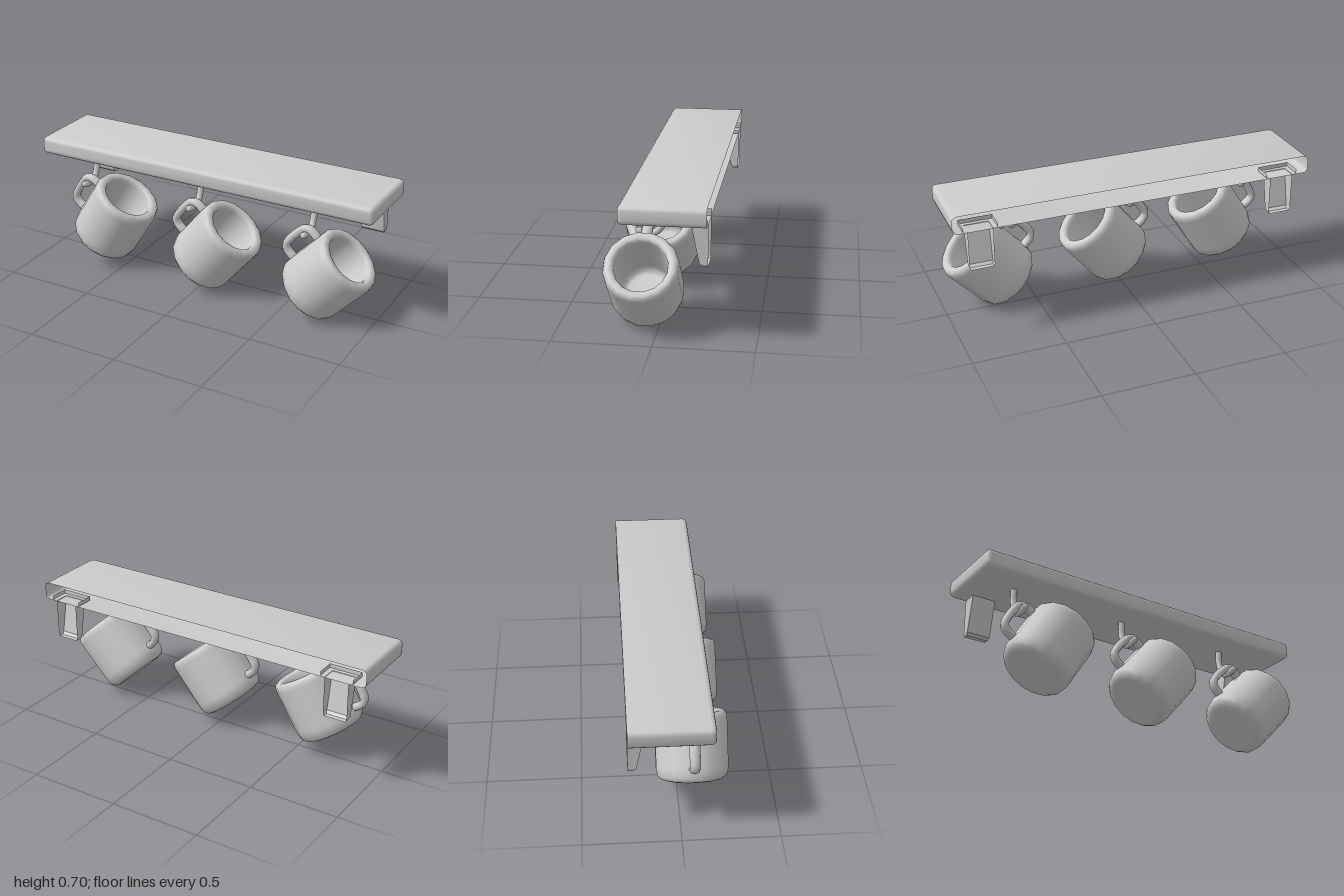
import * as THREE from 'three';
import { toCreasedNormals } from 'three/addons/utils/BufferGeometryUtils.js';

const material = new THREE.MeshStandardMaterial({ color: 0xcccccc, side: THREE.DoubleSide });

function addMesh(parent, geometry, name) {
  const mesh = new THREE.Mesh(geometry, material);
  mesh.name = name;
  parent.add(mesh);
  return mesh;
}

// Skins equal-length rings of [x, y, z] points and caps the last ring.
function loft(rings, closed, crease) {
  const n = rings[0].length;
  const positions = rings.flat(2);
  const index = [];
  for (let i = 0; i < rings.length - 1; i++) {
    for (let j = 0; j < (closed ? n : n - 1); j++) {
      const k = (j + 1) % n;
      const a = i * n + j, b = i * n + k, c = b + n, d = a + n;
      index.push(a, b, c, a, c, d);
    }
  }
  const last = (rings.length - 1) * n;
  for (let j = 1; j < n - 1; j++) index.push(last, last + j, last + j + 1);
  const geometry = new THREE.BufferGeometry();
  geometry.setAttribute('position', new THREE.Float32BufferAttribute(positions, 3));
  geometry.setIndex(index);
  return toCreasedNormals(geometry, crease);
}

// Rounded rectangle outline, counter-clockwise, at depth z.
function roundedRing(halfW, halfH, r, cy, z) {
  const ring = [];
  [[1, 1], [-1, 1], [-1, -1], [1, -1]].forEach(([sx, sy], corner) => {
    for (let s = 0; s <= 3; s++) {
      const a = (corner + s / 3) * Math.PI / 2;
      ring.push([sx * (halfW - r) + r * Math.cos(a), cy + sy * (halfH - r) + r * Math.sin(a), z]);
    }
  });
  return ring;
}

// Shelf: rounded front edge, open back.
function shelfGeometry() {
  const bevel = 0.025;
  const rings = [roundedRing(1, 0.049, bevel, 0.666, -0.262)];
  for (let s = 0; s <= 3; s++) {
    const a = s / 3 * Math.PI / 2;
    const inset = bevel * (1 - Math.cos(a)) * 0.9;
    rings.push(roundedRing(1 - inset, 0.049 - inset, bevel - inset, 0.666, 0.137 + bevel * Math.sin(a)));
  }
  return loft(rings, true, 0.7);
}

// Wall bracket: tapering channel, open at the back, with a flange inside the shelf.
function bracketGeometry() {
  const levels = [ // [y, half width, front z]
    [0.645, 0.09, -0.16], [0.622, 0.09, -0.16], [0.62, 0.066, -0.178],
    [0.415, 0.066, -0.22], [0.402, 0.06, -0.235]
  ];
  const rings = levels.map(([y, w, z]) => [[w, y, -0.262], [w, y, z], [-w, y, z], [-w, y, -0.262]]);
  return loft(rings, false, 0.3);
}

// Tube along straight runs with softly rounded corners.
function bentTube(points, radius, sides) {
  const curve = new THREE.CatmullRomCurve3(points.map(p => new THREE.Vector3(...p)), false, 'centripetal');
  return new THREE.TubeGeometry(curve, 20, radius, sides);
}

// Mug: thick 16-sided wall with a rounded rim and foot.
function mugGeometry() {
  const profile = [
    [0, 0], [0.13, 0], [0.145, 0.001], [0.167, 0.008], [0.184, 0.027], [0.19, 0.06], [0.19, 0.08],
    [0.19, 0.31], [0.189, 0.33], [0.182, 0.347], [0.168, 0.354], [0.15, 0.353], [0.139, 0.347],
    [0.134, 0.335], [0.134, 0.32], [0.132, 0.07], [0.122, 0.045], [0.1, 0.036], [0, 0.036]
  ].map(p => new THREE.Vector2(...p));
  return new THREE.LatheGeometry(profile, 16, Math.PI / 16);
}

// Handle: rounded loop on the mug's -x side.
function handleGeometry() {
  const geometry = bentTube([
    [-0.165, 0.275, 0], [-0.235, 0.275, 0], [-0.262, 0.258, 0], [-0.27, 0.225, 0],
    [-0.27, 0.135, 0], [-0.262, 0.103, 0], [-0.235, 0.084, 0], [-0.165, 0.081, 0]
  ], 0.022, 8);
  return geometry.scale(1, 1, 1.25);
}

// Hook: drops from the shelf and bends forward through the handle.
function hookGroup() {
  const group = new THREE.Group();
  const path = [
    [0, 0.63, -0.012], [0, 0.59, -0.012], [0, 0.55, -0.012], [0, 0.485, 0.01],
    [0, 0.46, 0.035], [0, 0.454, 0.075], [0, 0.463, 0.12]
  ];
  addMesh(group, bentTube(path, 0.018, 10), 'hookRod');
  const tip = addMesh(group, new THREE.SphereGeometry(0.018, 10, 6), 'hookTip');
  tip.position.set(...path[path.length - 1]);
  return group;
}

export function createModel() {
  const model = new THREE.Group();
  model.name = 'mugShelf';
  addMesh(model, shelfGeometry(), 'shelf');

  const bracket = bracketGeometry();
  addMesh(model, bracket, 'rightBracket').position.x = -0.84;
  addMesh(model, bracket, 'leftBracket').position.x = 0.857;

  // Each mug hangs at its own tilt: hook x, rim centre x and y, tilt in degrees.
  const mug = mugGeometry(), handle = handleGeometry();
  [
    [-0.75, -0.487, 0.428, 32],
    [-0.07, 0.186, 0.391, 40],
    [0.61, 0.858, 0.372, 43.7]
  ].forEach(([hookX, rimX, rimY, degrees], i) => {
    const hook = hookGroup();
    hook.name = 'hook' + (i + 1);
    hook.position.x = hookX;
    model.add(hook);

    const tilt = THREE.MathUtils.degToRad(degrees);
    const group = new THREE.Group();
    group.name = 'mug' + (i + 1);
    addMesh(group, mug, 'mugBody');
    addMesh(group, handle, 'mugHandle');
    group.rotation.z = -tilt;
    group.position.set(rimX - 0.352 * Math.sin(tilt), rimY - 0.352 * Math.cos(tilt), 0.075);
    model.add(group);
  });
  return model;
}
